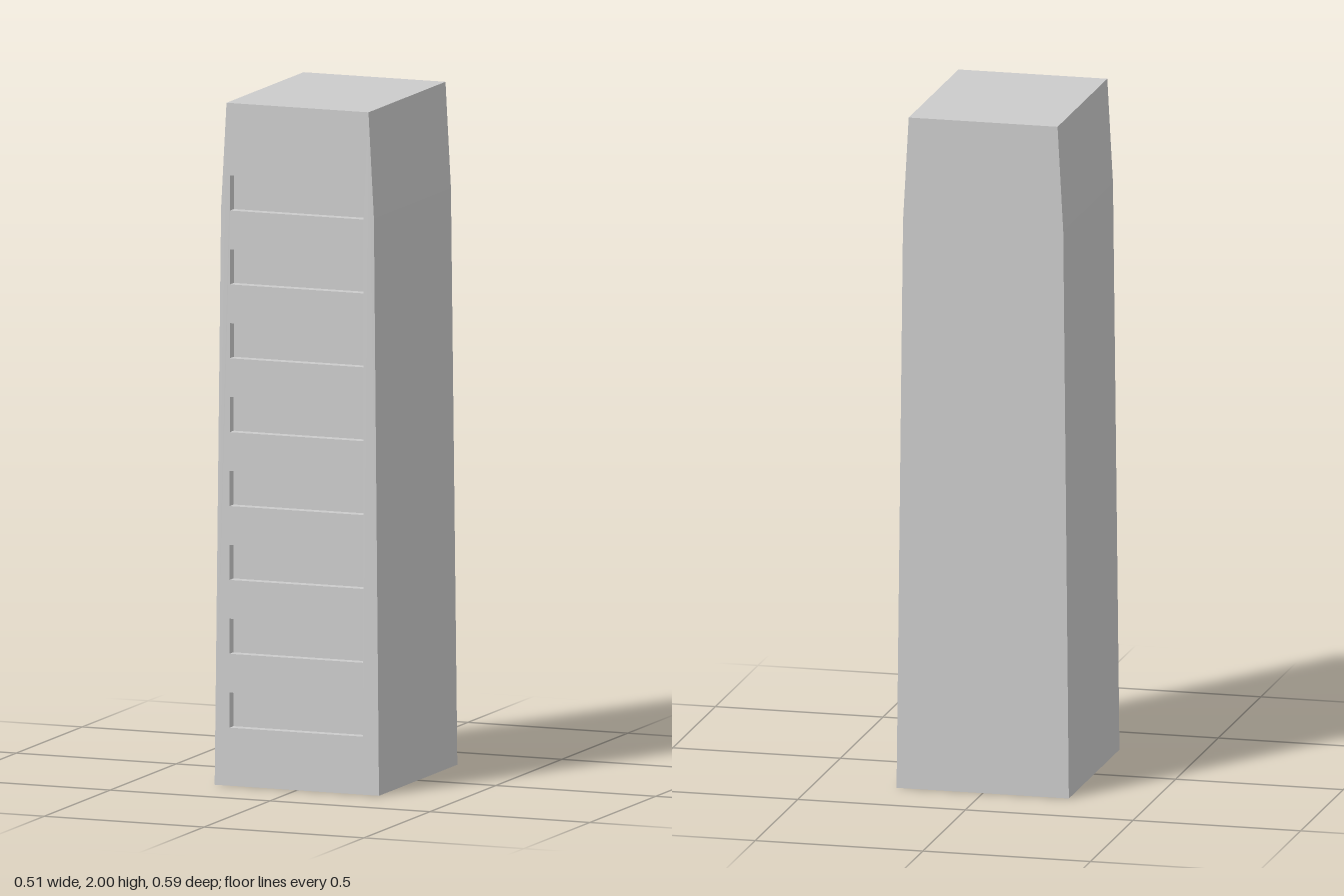
import * as THREE from 'three';

const HEIGHT = 2, KINK = 1.69;         // the taper steepens above KINK
const HALF_DEPTH = 0.297, RECESS = 0.03;
const FLOORS = 8, FIRST_SILL = 0.17, FLOOR_STEP = 0.2164;

// half width of the tower at height y
const halfWidth = (y) => y < KINK
  ? THREE.MathUtils.mapLinear(y, 0, KINK, 0.257, 0.239)
  : THREE.MathUtils.mapLinear(y, KINK, HEIGHT, 0.239, 0.222);

// slight front-to-back taper that stops at KINK
const depthScale = (y) => 1 - 0.017 * Math.min(1, y / KINK);

function taperDepth(geometry) {
  const p = geometry.attributes.position;
  for (let i = 0; i < p.count; i++) p.setZ(i, p.getZ(i) * depthScale(p.getY(i)));
  geometry.computeVertexNormals();
  return geometry;
}

function rectangle(x0, y0, x1, y1) {
  return new THREE.Path([[x0, y0], [x0, y1], [x1, y1], [x1, y0]].map(([x, y]) => new THREE.Vector2(x, y)));
}

export function createModel() {
  const group = new THREE.Group();
  group.name = 'tower';
  const material = new THREE.MeshStandardMaterial({ color: 0xcccccc, flatShading: true });

  // solid tower body, up to the back of the window recesses
  const bodyDepth = 2 * HALF_DEPTH - RECESS;
  const bodyGeometry = new THREE.BoxGeometry(2, 2, bodyDepth, 1, 2, 1);
  bodyGeometry.translate(0, 0, -RECESS / 2);
  const p = bodyGeometry.attributes.position;
  for (let i = 0; i < p.count; i++) {
    const y = [0, KINK, HEIGHT][Math.round(p.getY(i)) + 1];
    p.setXY(i, p.getX(i) * halfWidth(y), y);
  }
  const body = new THREE.Mesh(taperDepth(bodyGeometry), material);
  body.name = 'towerBody';
  group.add(body);

  // front wall with a column of wide window openings
  const levels = [0, KINK, HEIGHT];
  const outline = [
    ...levels.map((y) => new THREE.Vector2(halfWidth(y), y)),
    ...levels.slice().reverse().map((y) => new THREE.Vector2(-halfWidth(y), y)),
  ];
  const wall = new THREE.Shape(outline);
  for (let i = 0; i < FLOORS; i++) {
    const sill = FIRST_SILL + i * FLOOR_STEP;
    wall.holes.push(rectangle(-0.211, sill, 0.207, sill + 0.103));
  }
  const wallGeometry = new THREE.ExtrudeGeometry(wall, { depth: RECESS, bevelEnabled: false });
  wallGeometry.translate(0, 0, HALF_DEPTH - RECESS);
  const facade = new THREE.Mesh(taperDepth(wallGeometry), material);
  facade.name = 'windowedFrontWall';
  group.add(facade);

  return group;
}
